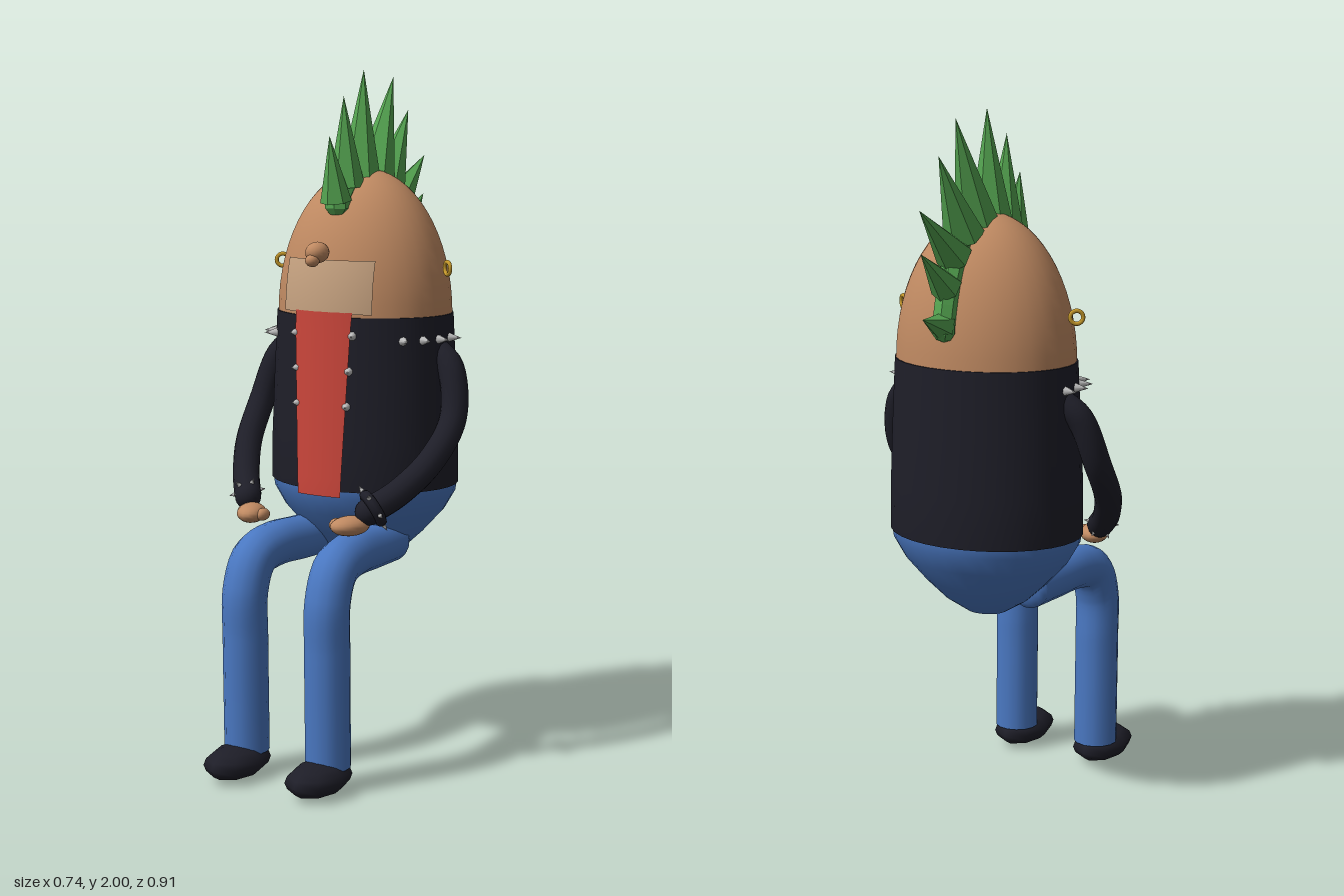
import * as THREE from 'three';
import { ParametricGeometry } from 'three/addons/geometries/ParametricGeometry.js';

const V = (x, y, z) => new THREE.Vector3(x, y, z);
const CZ = -0.123; // body axis
const WIDE = 1.2; // body is wider than deep
const UP = V(0, 1, 0);

export function createModel() {
  const root = new THREE.Group();
  const material = (name, color, extra = {}) =>
    Object.assign(new THREE.MeshStandardMaterial({ color, ...extra }), { name });
  const skin = material('skin', 0xc08a62);
  const stubble = material('stubble', 0xc6a280, { side: THREE.DoubleSide });
  const black = material('black leather', 0x1e1e28);
  const denim = material('denim', 0x4a78c2);
  const red = material('red shirt', 0xcb463b, { side: THREE.DoubleSide });
  const green = material('green hair', 0x55a551, { flatShading: true });
  const gold = material('gold', 0xc79a2b);
  const silver = material('silver', 0xbcbcbc);

  function add(name, geometry, mat, pos = V(0, 0, 0), parent = root) {
    const mesh = new THREE.Mesh(geometry, mat);
    mesh.name = name;
    mesh.position.copy(pos);
    parent.add(mesh);
    return mesh;
  }
  function ball(name, mat, pos, size, w = 16, h = 12) {
    const mesh = add(name, new THREE.SphereGeometry(1, w, h), mat, pos);
    mesh.scale.copy(size);
    return mesh;
  }
  function spike(name, mat, base, tip, radius, sides) {
    const dir = tip.clone().sub(base);
    const geo = new THREE.ConeGeometry(radius, dir.length(), sides);
    const mesh = add(name, geo, mat, base.clone().add(tip).multiplyScalar(0.5));
    mesh.quaternion.setFromUnitVectors(UP, dir.normalize());
    return mesh;
  }
  const tube = (pts, r, n = 32) =>
    new THREE.TubeGeometry(new THREE.CatmullRomCurve3(pts), n, r, 14);

  // Egg-shaped body in three bands
  function band(name, mat, pts) {
    const geo = new THREE.LatheGeometry(pts.map(([r, y]) => new THREE.Vector2(r, y)), 32);
    add(name, geo, mat, V(0, 0, CZ)).scale.x = WIDE;
  }
  band('trouserSeat', denim,
    [[0, 0.565], [0.05, 0.575], [0.105, 0.615], [0.155, 0.67], [0.205, 0.735], [0.232, 0.79], [0.236, 0.82]]);
  band('jacket', black, [[0.23, 0.812], [0.239, 0.815], [0.238, 0.95], [0.232, 1.12], [0.224, 1.31]]);
  band('jacketCollar', black, [[0.224, 1.31], [0.205, 1.312]]);
  const dome = [];
  for (let i = 0; i <= 16; i++) {
    const a = (i / 16) * Math.PI / 2;
    dome.push([i === 16 ? 0 : 0.221 * Math.cos(a), 1.305 + 0.415 * Math.sin(a)]);
  }
  band('head', skin, dome);

  // Depth of the body's front surface
  function radius(y) {
    if (y > 1.31) return 0.221 * Math.sqrt(Math.max(0, 1 - ((y - 1.305) / 0.415) ** 2));
    return THREE.MathUtils.lerp(0.24, 0.224, THREE.MathUtils.clamp((y - 0.85) / 0.46, 0, 1));
  }
  const frontZ = (x, y) => {
    const r = radius(y);
    return CZ + r * Math.sqrt(Math.max(0, 1 - (x / (r * WIDE)) ** 2));
  };
  function frontPatch(name, mat, y0, y1, w0, w1, lift) {
    const geo = new ParametricGeometry((u, v, p) => {
      const y = y0 + (y1 - y0) * v;
      const x = (u * 2 - 1) * (w0 + (w1 - w0) * v);
      p.set(x, y, frontZ(x, y) + lift);
    }, 12, 10);
    add(name, geo, mat);
  }
  frontPatch('shirtFront', red, 0.8, 1.325, 0.072, 0.095, 0.01);
  frontPatch('stubblePatch', stubble, 1.32, 1.47, 0.147, 0.145, 0.01);

  // Nose
  ball('nose', skin, V(0, 1.493, 0.125), V(0.033, 0.03, 0.037));
  ball('noseTip', skin, V(0, 1.472, 0.15), V(0.02, 0.018, 0.022));

  // Mohawk: spikes given by base and tip (z, y), over a curved root strip
  const strip = [];
  for (let i = 0; i <= 14; i++) {
    const a = THREE.MathUtils.lerp(0.87, 2.86, i / 14);
    strip.push(V(0, 1.305 + 0.415 * Math.sin(a), CZ + 0.226 * Math.cos(a)));
  }
  add('mohawkRoot', new THREE.TubeGeometry(new THREE.CatmullRomCurve3(strip), 18, 0.034, 7), green);
  ball('mohawkFrontEnd', green, strip[0], V(0.042, 0.034, 0.034), 7, 5);
  ball('mohawkBackEnd', green, strip[14], V(0.036, 0.036, 0.034), 7, 5);
  [
    [0.03, 1.63, 0.063, 1.815, 0.045], [-0.025, 1.67, -0.01, 1.925, 0.053],
    [-0.095, 1.69, -0.115, 2.0, 0.06], [-0.17, 1.69, -0.275, 1.98, 0.062],
    [-0.235, 1.66, -0.36, 1.885, 0.058], [-0.285, 1.61, -0.455, 1.75, 0.052],
    [-0.325, 1.53, -0.45, 1.635, 0.045], [-0.345, 1.43, -0.445, 1.46, 0.04],
  ].forEach(([bz, by, tz, ty, r]) => spike('mohawkSpike', green, V(0, by, bz), V(0, ty, tz), r, 6));

  for (const s of [1, -1]) {
    const side = s > 0 ? 'left' : 'right';

    // Earring
    const ring = add(side + 'Earring', new THREE.TorusGeometry(0.018, 0.006, 8, 18), gold,
      V(s * 0.283, 1.445, -0.112));
    ring.rotation.y = -s * 0.6;

    // Leg and shoe
    add(side + 'Leg', tube([
      V(s * 0.115, 0.65, -0.08), V(s * 0.122, 0.65, 0.04), V(s * 0.132, 0.65, 0.16),
      V(s * 0.138, 0.625, 0.245), V(s * 0.14, 0.54, 0.286), V(s * 0.14, 0.4, 0.288),
      V(s * 0.14, 0.22, 0.286), V(s * 0.14, 0.07, 0.284)], 0.065, 40), denim);
    ball(side + 'HipEnd', denim, V(s * 0.115, 0.65, -0.08), V(0.065, 0.065, 0.03));
    ball(side + 'Shoe', black, V(s * 0.14, 0.048, 0.332), V(0.079, 0.048, 0.123), 8, 8);

    // Sleeve, hand and thumb
    add(side + 'Sleeve', tube([
      V(s * 0.24, 1.21, -0.125), V(s * 0.295, 1.165, -0.112), V(s * 0.33, 1.03, -0.07),
      V(s * 0.315, 0.92, 0.02), V(s * 0.262, 0.835, 0.11), V(s * 0.205, 0.785, 0.18)], 0.039), black);
    ball(side + 'SleeveEnd', black, V(s * 0.205, 0.785, 0.18), V(0.038, 0.038, 0.038));
    const hand = ball(side + 'Hand', skin, V(s * 0.168, 0.748, 0.215), V(0.042, 0.028, 0.06));
    hand.rotation.y = -s * 0.45;
    ball(side + 'Thumb', skin, V(s * 0.125, 0.748, 0.22), V(0.017, 0.018, 0.026));

    // Wristband on the left arm, studs on both
    const wrist = V(s * 0.215, 0.795, 0.17);
    const along = V(-s * 0.6, -0.5, 0.63).normalize();
    const turn = new THREE.Quaternion().setFromUnitVectors(V(0, 0, 1), along);
    if (s > 0) {
      add('wristband', new THREE.TorusGeometry(0.042, 0.016, 8, 18), black, wrist).quaternion.copy(turn);
    }
    const reach = s > 0 ? 0.056 : 0.036;
    for (let i = 0; i < 6; i++) {
      const a = (i / 6) * Math.PI * 2;
      const out = V(Math.cos(a), Math.sin(a), 0).applyQuaternion(turn);
      spike('wristStud', silver, wrist.clone().addScaledVector(out, reach),
        wrist.clone().addScaledVector(out, reach + 0.018), 0.007, 6);
    }

    // Shoulder spikes around the jacket
    for (const z of [0.015, -0.035, -0.09, -0.148]) {
      const r = radius(1.245);
      const x = r * WIDE * Math.sqrt(1 - ((z - CZ) / r) ** 2);
      const out = V(s * x / WIDE ** 2, 0, z - CZ).normalize();
      const base = V(s * x, 1.245, z);
      spike('shoulderSpike', silver, base, base.clone().addScaledVector(out, 0.038), 0.013, 8);
    }

    // Lapel studs beside the shirt
    for (const [x, y] of [[0.094, 1.26], [0.086, 1.16], [0.081, 1.06]]) {
      const base = V(s * x, y, frontZ(x, y) + 0.004);
      spike('lapelStud', silver, base, base.clone().add(V(s * 0.009, 0, 0.02)), 0.013, 8);
    }
  }
  return root;
}
